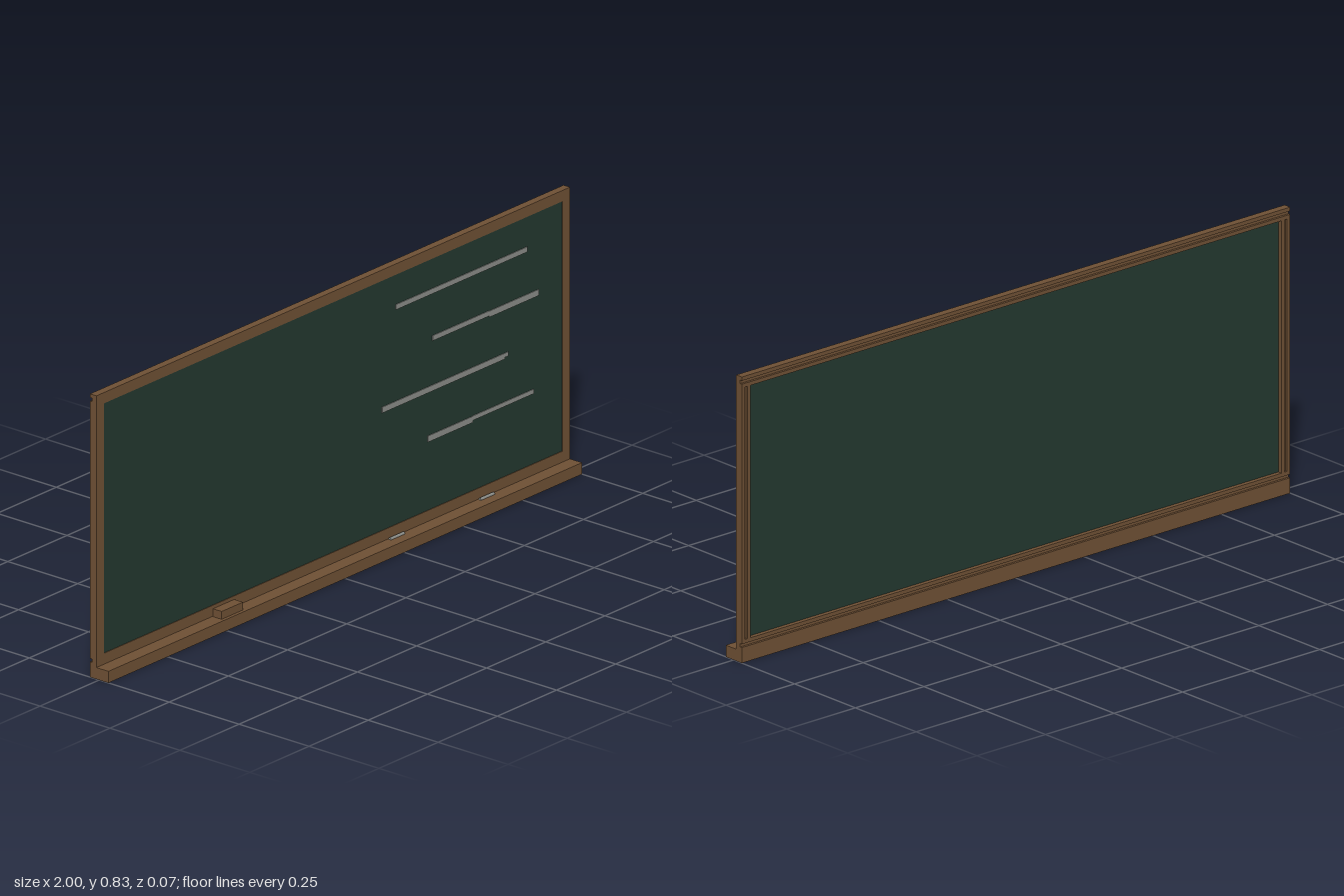
import * as THREE from 'three';

export function createModel() {
  const model = new THREE.Group();
  const mat = (name, color) => Object.assign(new THREE.MeshStandardMaterial({ color }), { name });
  const wood = mat('brown wood', 0x6e5034);
  const slate = mat('green slate', 0x23382f);
  const chalk = mat('chalk grey', 0x8a8c87);

  // Box given by its limits on each axis
  const box = (name, material, [x0, x1], [y0, y1], [z0, z1], parent = model) => {
    const mesh = new THREE.Mesh(new THREE.BoxGeometry(x1 - x0, y1 - y0, z1 - z0), material);
    mesh.position.set((x0 + x1) / 2, (y0 + y1) / 2, (z0 + z1) / 2);
    mesh.name = name;
    parent.add(mesh);
    return mesh;
  };

  const back = -0.033, front = -0.01, w = 0.032;
  const top = 0.833, trayTop = 0.034;

  // Frame bar: channel section, open at the back, extruded along its length
  const bar = (name, length) => {
    const s = new THREE.Shape();
    [[0, front], [0, back], [0.011, back], [0.011, back + 0.007], [0.021, back + 0.007],
      [0.021, back], [w, back], [w, front]].forEach(([a, z], i) => (i ? s.lineTo(a, z) : s.moveTo(a, z)));
    const mesh = new THREE.Mesh(new THREE.ExtrudeGeometry(s, { depth: length, bevelEnabled: false }), wood);
    mesh.name = name;
    model.add(mesh);
    return mesh;
  };
  // Section axes (across, z) and the extrusion axis are mapped onto the model's axes
  const place = (mesh, across, along, origin) => {
    const m = new THREE.Matrix4().makeBasis(across, new THREE.Vector3(0, 0, 1), along);
    mesh.geometry.applyMatrix4(m);
    mesh.position.copy(origin);
  };
  const V = (x, y, z) => new THREE.Vector3(x, y, z);
  place(bar('topRail', 2), V(0, -1, 0), V(-1, 0, 0).negate().multiplyScalar(-1), V(1, top, 0));
  place(bar('bottomRail', 2), V(0, 1, 0), V(1, 0, 0), V(-1, trayTop, 0));
  const postLength = top - trayTop - 2 * w;
  place(bar('rightPost', postLength), V(1, 0, 0), V(0, -1, 0), V(-1, top - w, 0));
  place(bar('leftPost', postLength), V(-1, 0, 0), V(0, 1, 0), V(1, trayTop + w, 0));

  // Writing surface and chalk tray
  box('board', slate, [-0.97, 0.97], [0.064, 0.803], [-0.02, -0.012]);
  box('tray', wood, [-1, 1], [0, trayTop], [back, 0.033]);

  // Eraser and chalk sticks resting on the tray
  box('eraser', wood, [-0.51, -0.42], [trayTop, 0.057], [-0.008, 0.023]);
  for (const x of [0.26, 0.64]) {
    const stick = new THREE.Mesh(new THREE.CylinderGeometry(0.005, 0.005, 0.058, 10), chalk);
    stick.rotation.z = Math.PI / 2;
    stick.position.set(x, 0.035, -0.003);
    stick.name = 'chalkStick';
    model.add(stick);
  }

  // Chalk strokes: each a few overlapping strips [x0, x1, y0, y1]
  const strokes = new THREE.Group();
  strokes.name = 'chalkStrokes';
  model.add(strokes);
  [
    [0.265, 0.82, 0.698, 0.713],
    [0.42, 0.66, 0.559, 0.574], [0.66, 0.868, 0.555, 0.573],
    [0.207, 0.725, 0.412, 0.429], [0.725, 0.74, 0.417, 0.429],
    [0.4, 0.59, 0.267, 0.285], [0.59, 0.847, 0.273, 0.286],
  ].forEach(([x0, x1, y0, y1]) => box('chalkStroke', chalk, [x0, x1], [y0, y1], [-0.013, -0.0095], strokes));

  return model;
}
